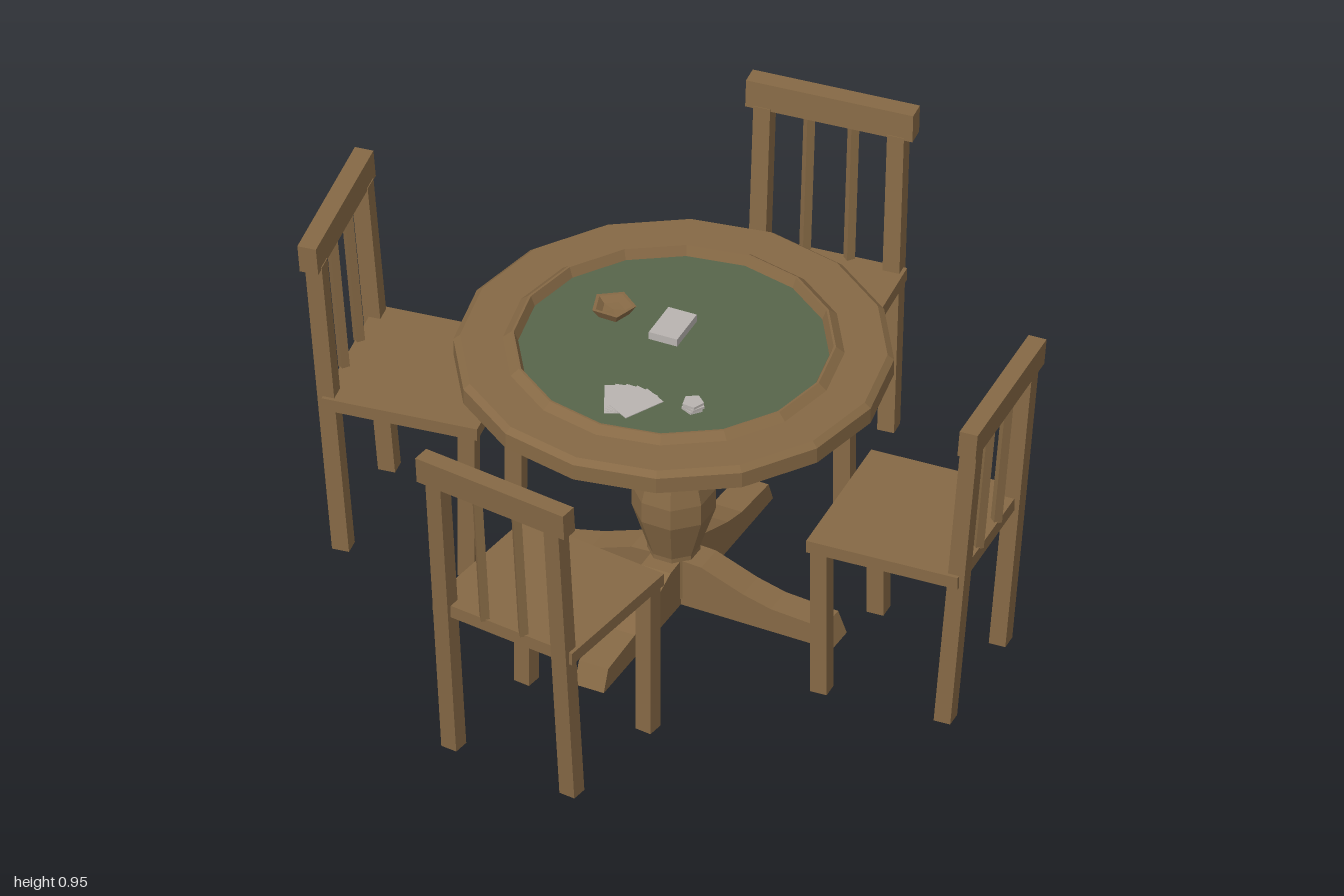
import * as THREE from 'three';

const wood = new THREE.MeshStandardMaterial({ color: 0x866945 });
wood.name = 'wood';
const felt = new THREE.MeshStandardMaterial({ color: 0x57654b });
felt.name = 'green felt';
const paper = new THREE.MeshStandardMaterial({ color: 0xb9b4b0 });
paper.name = 'pale card';

// Faceted normals for the low-poly look
function flat(geo) {
  const g = geo.index ? geo.toNonIndexed() : geo;
  g.computeVertexNormals();
  return g;
}

function part(parent, name, geo, mat, x = 0, y = 0, z = 0) {
  const m = new THREE.Mesh(flat(geo), mat);
  m.name = name;
  m.position.set(x, y, z);
  parent.add(m);
  return m;
}

function lathe(points, sides, phi = 0) {
  return new THREE.LatheGeometry(points.map(([r, y]) => new THREE.Vector2(r, y)), sides, phi);
}

// Chair: seat centre over the local origin, backrest towards +z
const LEAN = 0.084;
function lean(geo, x, y, z) {
  geo.translate(x, y, z);
  const p = geo.attributes.position;
  for (let i = 0; i < p.count; i++) p.setZ(i, p.getZ(i) + LEAN * p.getY(i));
  return geo;
}

function chair() {
  const g = new THREE.Group();
  g.name = 'chair';
  part(g, 'seat', new THREE.BoxGeometry(0.43, 0.036, 0.42), wood, 0, 0.458, 0);
  for (const s of [-1, 1]) {
    part(g, 'frontLeg', new THREE.BoxGeometry(0.046, 0.44, 0.046), wood, s * 0.187, 0.22, -0.178);
    part(g, 'backLeg', lean(new THREE.BoxGeometry(0.046, 0.88, 0.046), s * 0.182, 0.44, 0.162), wood);
    part(g, 'backSlat', lean(new THREE.CylinderGeometry(0.016, 0.016, 0.41, 4), s * 0.06, 0.675, 0.162), wood);
  }
  part(g, 'topRail', lean(new THREE.BoxGeometry(0.455, 0.078, 0.05), 0, 0.912, 0.166), wood);
  return g;
}

// Round table with pedestal and four spreading feet
function table() {
  const g = new THREE.Group();
  g.name = 'table';
  part(g, 'tableTop', lathe([
    [0, 0.72], [0.565, 0.72], [0.565, 0.765], [0.548, 0.779], [0.438, 0.779],
    [0.416, 0.797], [0.41, 0.797], [0.398, 0.768],
  ], 16), wood);
  const cloth = part(g, 'feltSurface', new THREE.CircleGeometry(0.4, 16), felt, 0, 0.77, 0);
  cloth.rotation.x = -Math.PI / 2;
  part(g, 'pedestal', lathe([
    [0.068, 0.02], [0.068, 0.15], [0.108, 0.27], [0.108, 0.33], [0.07, 0.47],
    [0.045, 0.55], [0.078, 0.72],
  ], 8, Math.PI / 8), wood);

  const shape = new THREE.Shape([
    [0, 0], [0.475, 0], [0.45, 0.06], [0.3, 0.07], [0.22, 0.09], [0.1, 0.135], [0, 0.14],
  ].map(([x, y]) => new THREE.Vector2(x, y)));
  for (let i = 0; i < 4; i++) {
    const geo = new THREE.ExtrudeGeometry(shape, { depth: 0.084, bevelEnabled: false });
    geo.translate(0, 0, -0.042);
    part(g, 'foot', geo, wood).rotation.y = i * Math.PI / 2;
  }
  return g;
}

// Things lying on the felt
function tableItems() {
  const g = new THREE.Group();
  g.name = 'tableItems';
  part(g, 'dish', lathe([
    [0, 0.77], [0.042, 0.77], [0.06, 0.797], [0.05, 0.797], [0.032, 0.782], [0, 0.78],
  ], 5, Math.PI), wood, -0.193, 0, -0.068);
  part(g, 'cardDeck', new THREE.BoxGeometry(0.08, 0.022, 0.12), paper, -0.022, 0.782, -0.068).rotation.y = 0.04;

  // Fan of cards sharing one pivot
  for (let i = 0; i < 5; i++) {
    const geo = new THREE.BoxGeometry(0.07, 0.002, 0.12);
    geo.translate(0, 0, -0.06);
    part(g, 'fannedCard', geo, paper, 0.017, 0.772 + i * 0.0012, 0.318).rotation.y = (2 - i) * 0.23;
  }

  // Small stack of tokens
  for (let i = 0; i < 3; i++) {
    part(g, 'token', new THREE.CylinderGeometry(0.029, 0.029, 0.007, 5), paper,
      0.178 + (i % 2) * 0.003, 0.774 + i * 0.008, 0.21).rotation.y = 0.25 + i * 0.15;
  }
  return g;
}

export function createModel() {
  const model = new THREE.Group();
  model.name = 'card table with chairs';
  const top = table();
  top.position.set(0.014, 0, -0.003);
  model.add(top, tableItems());

  // Chair positions and the outward direction of each backrest
  for (const [name, x, z, nx, nz] of [
    ['frontChair', 0.016, 0.705, -0.121, 0.993],
    ['backChair', 0.016, -0.707, -0.121, -0.993],
    ['leftChair', 0.706, 0, 0.997, -0.075],
    ['rightChair', -0.694, 0, -0.99, 0.143],
  ]) {
    const c = chair();
    c.name = name;
    c.position.set(x, 0, z);
    c.rotation.y = Math.atan2(nx, nz);
    model.add(c);
  }
  return model;
}
